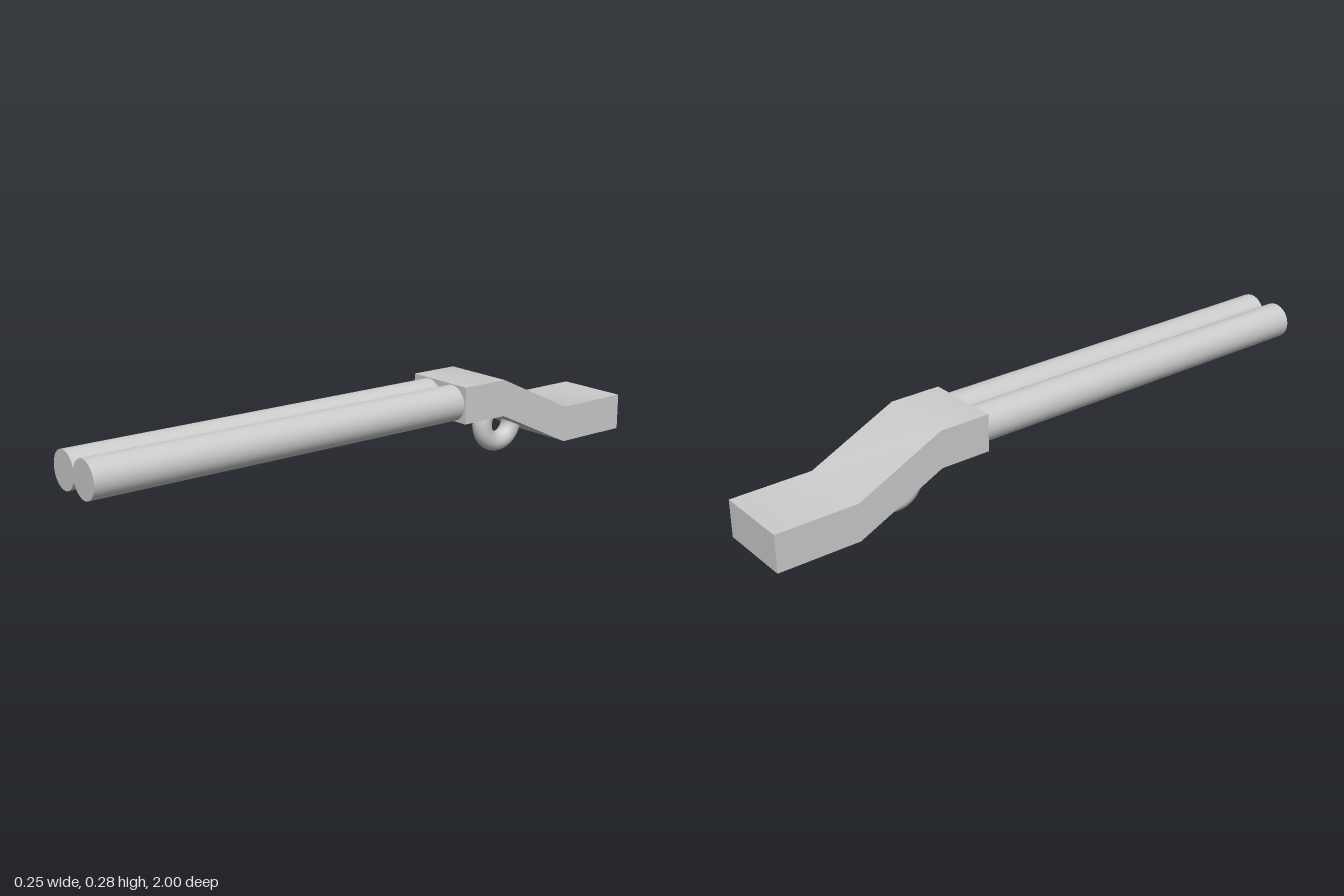
import * as THREE from 'three';
import { toCreasedNormals } from 'three/addons/utils/BufferGeometryUtils.js';

export function createModel() {
  const group = new THREE.Group();
  const material = new THREE.MeshStandardMaterial({ color: 0xcccccc });
  const add = (name, geometry, x, y, z) => {
    const mesh = new THREE.Mesh(geometry, material);
    mesh.name = name;
    mesh.position.set(x, y, z);
    group.add(mesh);
  };

  // Twin barrels, slightly overlapping side by side and seated in the stock
  const back = -0.3, front = 1;
  const barrel = new THREE.CylinderGeometry(0.058, 0.058, front - back, 48).rotateX(Math.PI / 2);
  for (const [name, side] of [['leftBarrel', 1], ['rightBarrel', -1]]) {
    add(name, barrel, 0.003 + side * 0.0555, 0.216, (front + back) / 2);
  }

  // Bent stock: side profile in (z, y), extruded across the width
  const width = 0.246, thickness = 0.119;
  const top = [[-0.29, 0.277], [-0.456, 0.277], [-0.737, 0.143], [-1, 0.143]];
  const bottom = top.map(([z, y]) => [z, y - thickness]).reverse();
  const profile = new THREE.Shape([...top, ...bottom].map(([z, y]) => new THREE.Vector2(z, y)));
  const stock = new THREE.ExtrudeGeometry(profile, { depth: width, bevelEnabled: false })
    .translate(0, 0, -width / 2)
    .rotateY(-Math.PI / 2);
  add('stock', toCreasedNormals(stock, 0.6), 0, 0, 0); // soft bends, sharp edges

  // Ring guard, its upper part sunk into the sloping underside
  const ring = new THREE.TorusGeometry(0.065, 0.0325, 24, 64).rotateY(Math.PI / 2);
  add('triggerRing', ring, -0.002, 0.0975, -0.545);

  return group;
}
